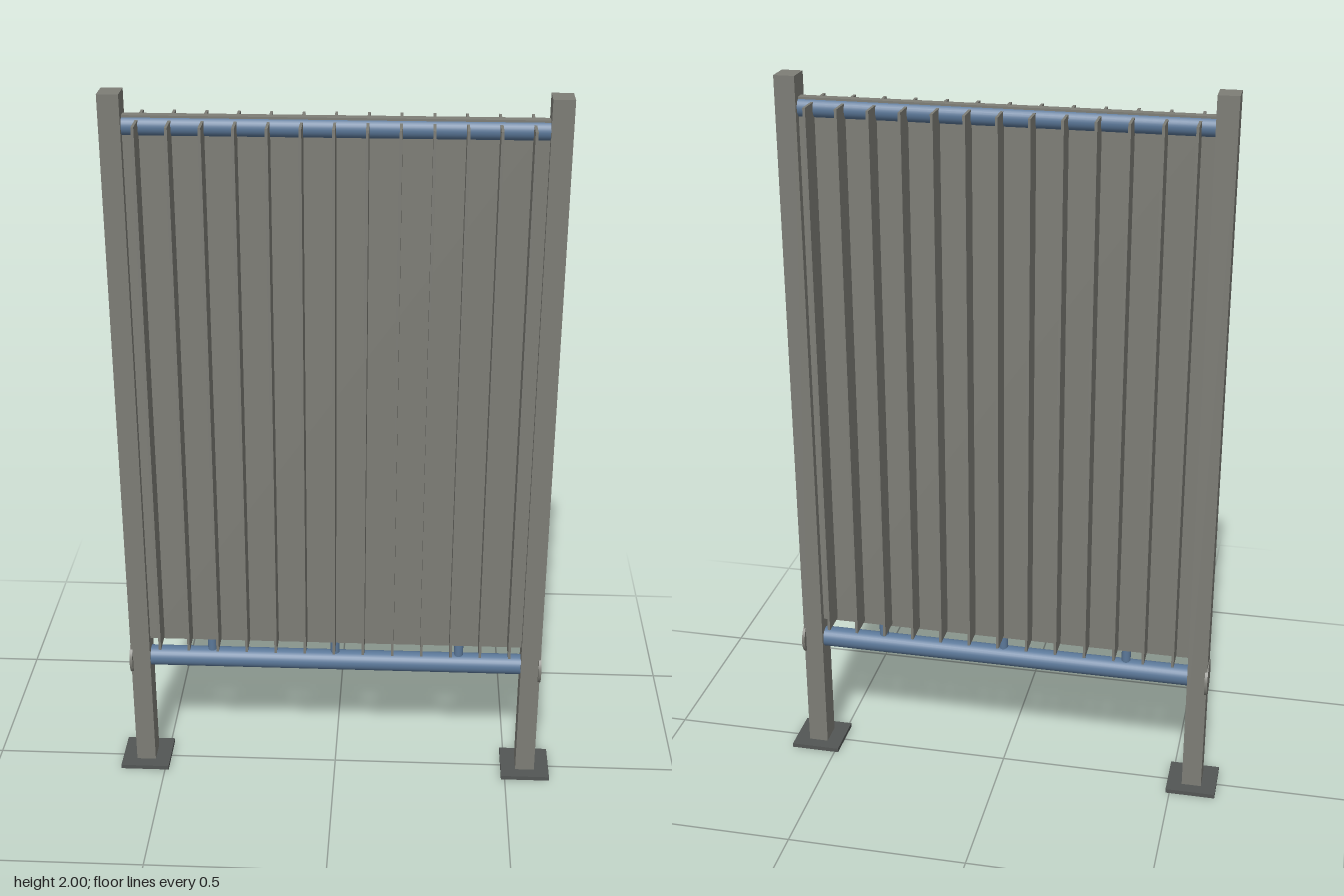
import * as THREE from 'three';

export function createModel() {
  const model = new THREE.Group();
  model.name = 'finnedScreen';

  const mat = (name, color) => {
    const m = new THREE.MeshStandardMaterial({ color });
    m.name = name;
    return m;
  };
  const grey = mat('warmGrey', 0x7d7d76);
  const dark = mat('darkGrey', 0x535655);
  const blue = mat('steelBlue', 0x5b7899);

  const add = (name, geometry, material, x, y, z = 0) => {
    const mesh = new THREE.Mesh(geometry, material);
    mesh.name = name;
    mesh.position.set(x, y, z);
    model.add(mesh);
    return mesh;
  };
  const rodX = (radius, length) => new THREE.CylinderGeometry(radius, radius, length, 32).rotateZ(Math.PI / 2);

  // Square foot plate, open under the post
  const rect = (T, w, d) => new T([
    new THREE.Vector2(-w, -d), new THREE.Vector2(w, -d),
    new THREE.Vector2(w, d), new THREE.Vector2(-w, d),
  ]);
  const plateShape = rect(THREE.Shape, 0.07, 0.07);
  plateShape.holes.push(rect(THREE.Path, 0.025, 0.032));
  const plateGeo = new THREE.ExtrudeGeometry(plateShape, { depth: 0.012, bevelEnabled: false }).rotateX(-Math.PI / 2);

  // Posts, foot plates and round end caps on both sides
  const postGeo = new THREE.BoxGeometry(0.055, 1.99, 0.07);
  const postMats = [grey, grey, grey, dark, grey, grey];
  for (const [side, s] of [['left', 1], ['right', -1]]) {
    add(side + 'Post', postGeo, postMats, s * 0.559, 1.005);
    add(side + 'FootPlate', plateGeo, dark, s * 0.559, 0);
    add(side + 'EndCap', rodX(0.051, 0.008), grey, s * 0.585, 0.356);
  }

  // Centre panel and its two cross rails
  add('panel', new THREE.BoxGeometry(1.064, 1.523, 0.026), grey, 0, 1.1815);
  add('topRail', rodX(0.026, 1.064), blue, 0, 1.915);
  add('bottomRail', rodX(0.029, 1.07), blue, 0, 0.356);

  // Short studs between bottom rail and panel
  const studGeo = new THREE.CylinderGeometry(0.013, 0.013, 0.06, 20);
  for (const x of [-0.354, 0, 0.354]) add('stud', studGeo, blue, x, 0.395);

  // Vertical fins crossing the panel
  const finGeo = new THREE.BoxGeometry(0.007, 1.505, 0.172);
  for (let i = -6; i <= 6; i++) add('fin', finGeo, grey, i * 0.0822, 1.18);

  return model;
}
